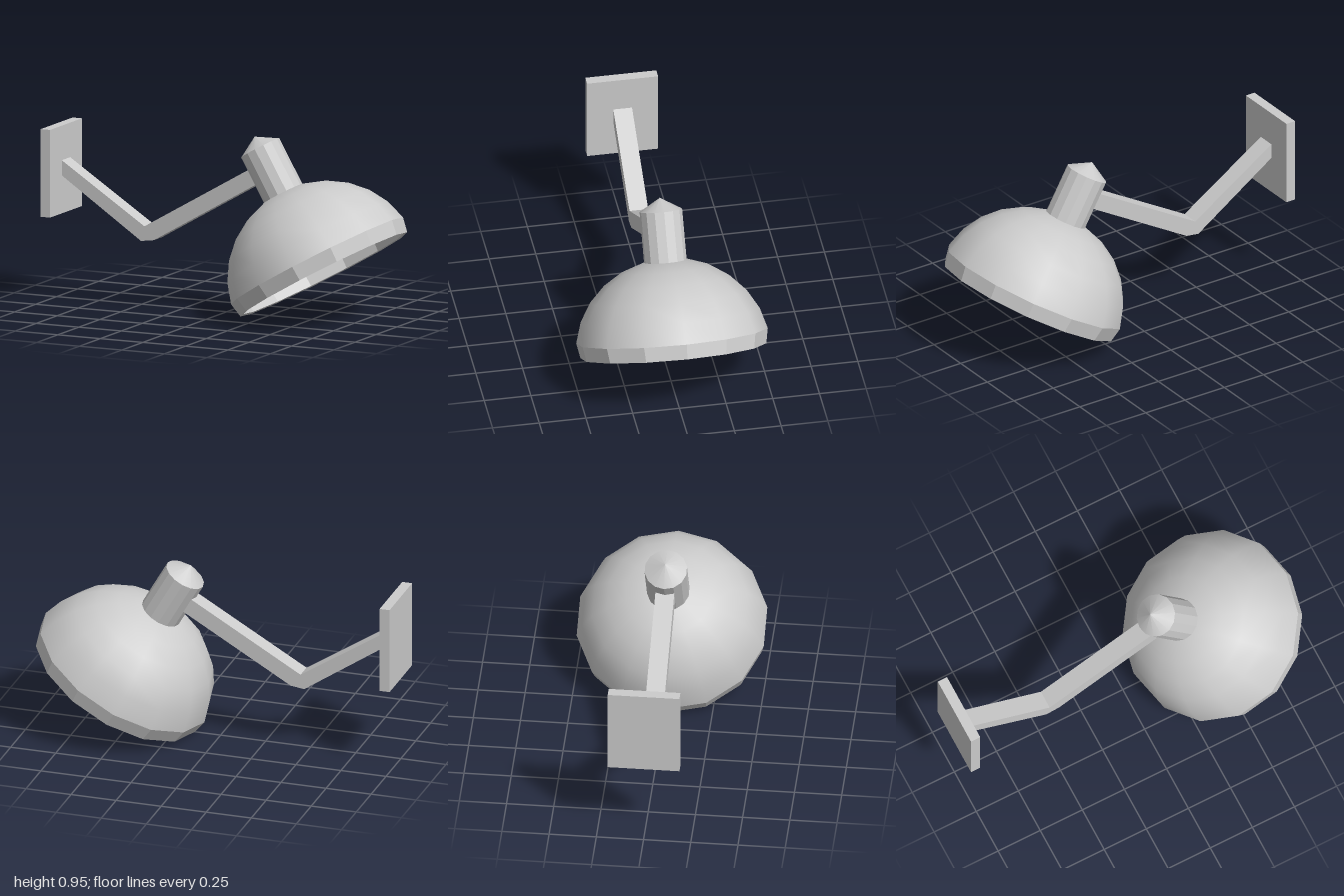
import * as THREE from 'three';
import { toCreasedNormals } from 'three/addons/utils/BufferGeometryUtils.js';

const SIDES = 14;
const smooth = new THREE.MeshStandardMaterial({ color: 0xcccccc });
const flat = new THREE.MeshStandardMaterial({ color: 0xcccccc, flatShading: true });

function part(parent, name, geometry, material) {
  const mesh = new THREE.Mesh(geometry, material);
  mesh.name = name;
  parent.add(mesh);
  return mesh;
}

// Lathe with a corner on the +x and -x axes
function lathe(points) {
  return new THREE.LatheGeometry(points.map(([r, y]) => new THREE.Vector2(r, y)), SIDES, Math.PI / 2);
}

// Quarter ellipse from just above the rim band up to the crown
function dome(radius, height, start) {
  const points = [];
  const a0 = Math.asin(start / height), steps = 6;
  for (let i = 0; i <= steps; i++) {
    const a = a0 + (Math.PI / 2 - a0) * i / steps;
    points.push([i === steps ? 0 : radius * Math.cos(a), height * Math.sin(a)]);
  }
  return points;
}

export function createModel() {
  const lamp = new THREE.Group();
  lamp.name = 'wallLamp';

  // Wall plate
  part(lamp, 'wallPlate', new THREE.BoxGeometry(0.055, 0.47, 0.38), flat)
    .position.set(-0.9725, 0.7, 0);

  // Bent square arm with a bevelled elbow
  const outline = [
    [-0.95, 0.753], [-0.95, 0.672], [-0.48, 0.355], [-0.405, 0.365],
    [0.24, 0.737], [0.2, 0.815], [-0.46, 0.435],
  ].map(([x, y]) => new THREE.Vector2(x, y));
  const arm = new THREE.ExtrudeGeometry(new THREE.Shape(outline), { depth: 0.1, bevelEnabled: false });
  arm.translate(0, 0, -0.05);
  part(lamp, 'arm', arm, flat);

  // Tilted head, its origin at the centre of the shade opening
  const head = new THREE.Group();
  head.name = 'head';
  head.position.set(0.57, 0.253, 0);
  head.rotation.z = Math.PI / 6;
  lamp.add(head);

  // Shade: smooth outer and inner domes joined by a faceted rim band
  const outer = dome(0.515, 0.49, 0.08);
  const inner = dome(0.492, 0.465, 0.08).reverse();
  part(head, 'shadeOuter', lathe(outer), smooth);
  part(head, 'shadeInner', lathe(inner), smooth);
  part(head, 'shadeRim', lathe([inner[inner.length - 1], [0.473, 0.004], [0.493, 0], outer[0]]), flat);

  // Socket with a shallow conical cap
  const socket = lathe([[0.113, 0.44], [0.113, 0.747], [0, 0.814]]);
  part(head, 'socket', toCreasedNormals(socket, 0.42), smooth);

  // Bulb
  const bulb = part(head, 'bulb', new THREE.SphereGeometry(0.207, SIDES, 10), smooth);
  bulb.scale.y = 0.92;
  bulb.position.y = 0.285;

  return lamp;
}
